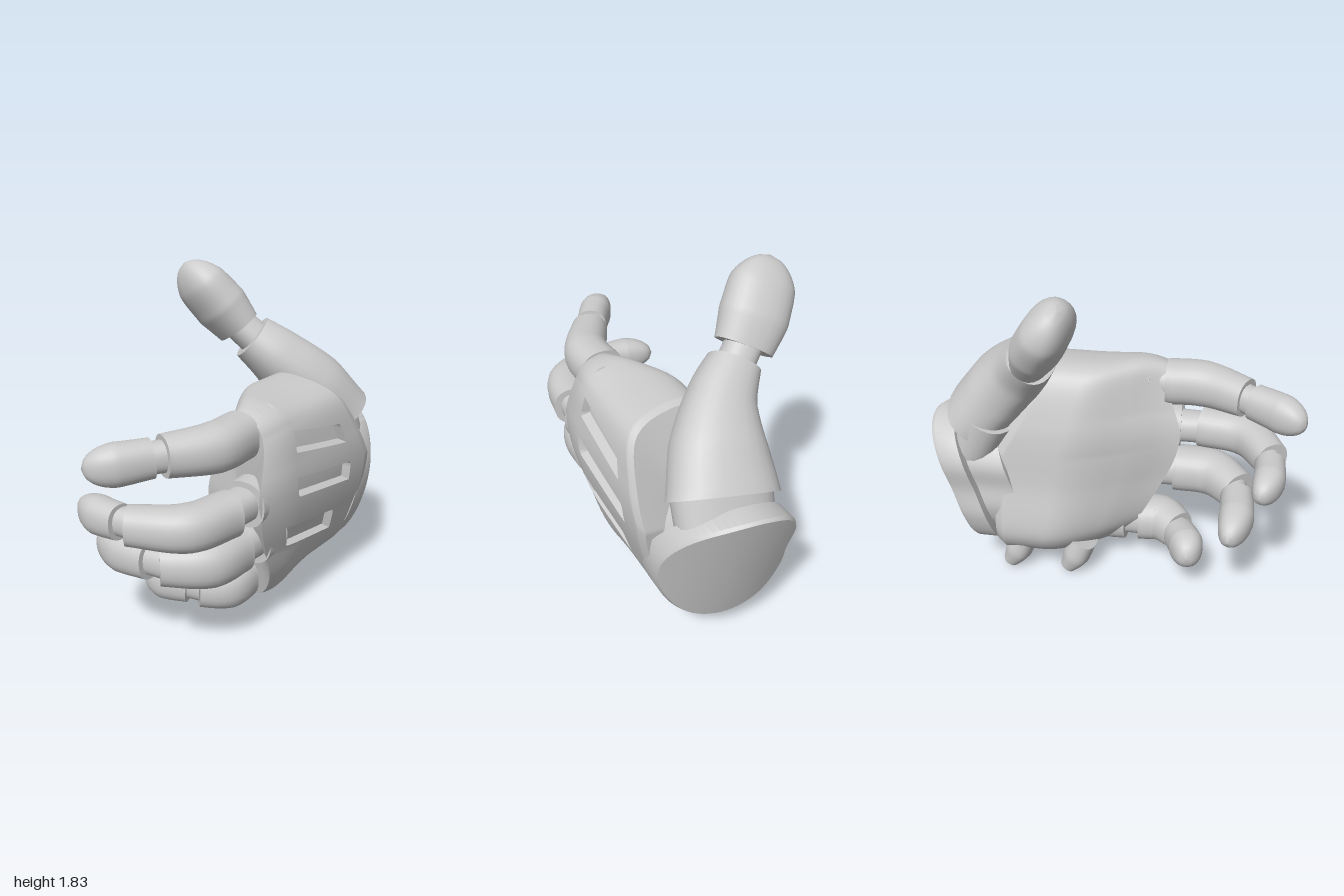
import * as THREE from 'three';
import { toCreasedNormals } from 'three/addons/utils/BufferGeometryUtils.js';

const V = (x, y, z = 0) => new THREE.Vector3(x, y, z);
const { lerp, smoothstep, clamp } = THREE.MathUtils;
const material = new THREE.MeshStandardMaterial({ color: 0xcccccc });

// Skins a stack of closed rings and closes both ends.
function skin(name, rings, crease = 0.6) {
  const n = rings[0].length, pos = [], index = [];
  rings.forEach(r => r.forEach(p => pos.push(p.x, p.y, p.z)));
  for (let i = 0; i < rings.length - 1; i++) {
    for (let j = 0; j < n; j++) {
      const a = i * n + j, b = i * n + (j + 1) % n;
      index.push(a, b, b + n, a, b + n, a + n);
    }
  }
  [0, rings.length - 1].forEach((i, end) => {
    const c = rings[i].reduce((s, p) => s.add(p), V(0, 0)).divideScalar(n);
    const k = pos.length / 3;
    pos.push(c.x, c.y, c.z);
    for (let j = 0; j < n; j++) {
      const a = i * n + j, b = i * n + (j + 1) % n;
      index.push(k, end ? a : b, end ? b : a);
    }
  });
  const g = new THREE.BufferGeometry();
  g.setAttribute('position', new THREE.Float32BufferAttribute(pos, 3));
  g.setIndex(index);
  const mesh = new THREE.Mesh(toCreasedNormals(g, crease), material);
  mesh.name = name;
  return mesh;
}

// Sweeps a squarish oval along points; sizes are [half width, half height] per point.
function limb(name, points, sizes, { up = V(0, 1, 0), round = false, steps = 18 } = {}) {
  const curve = new THREE.CatmullRomCurve3(points), rings = [], sides = 28;
  for (let i = 0; i <= steps; i++) {
    const t = i / steps, f = t * (points.length - 1);
    const k = Math.min(Math.floor(f), points.length - 2);
    const c = curve.getPoint(t), T = curve.getTangent(t);
    const v = up.clone().addScaledVector(T, -up.dot(T)).normalize();
    const u = v.clone().cross(T);
    // Rounded tips close over the second half of the sweep
    const e = round ? Math.max(0, 2 * t - 1) : 0;
    const s = Math.sqrt(Math.max(0.002, 1 - e ** 2.6));
    const [a, b] = [0, 1].map(m => s * lerp(sizes[k][m], sizes[k + 1][m], f - k));
    rings.push(Array.from({ length: sides }, (_, j) => {
      const q = j / sides * Math.PI * 2, co = Math.cos(q), si = Math.sin(q);
      return c.clone()
        .addScaledVector(u, a * Math.sign(co) * Math.abs(co) ** 0.85)
        .addScaledVector(v, b * Math.sign(si) * Math.abs(si) ** 0.85);
    }));
  }
  return skin(name, rings);
}

const closedCurve = pts => new THREE.CatmullRomCurve3(pts.map(p => V(p[0], p[1])), true);

// Recessed slots on the back of the hand: height at the front end, half height, start and end along the palm
const slots = [[1.08, 0.045, 0.2, 0.71], [0.84, 0.05, 0.22, 0.72], [0.55, 0.06, 0.34, 0.83]];

function palm() {
  const section = closedCurve([
    [0.25, 1.26], [0.06, 1.24], [-0.06, 0.98], [-0.11, 0.62], [-0.15, 0.28], [-0.02, 0.13],
    [0.2, 0.13], [0.38, 0.3], [0.47, 0.55], [0.51, 0.78], [0.5, 0.97], [0.43, 1.19],
  ]);
  // The back edge slopes forward under the thumb; the knuckle edge peaks at the middle finger
  const back = y => -0.64 + 0.58 * Math.max(0, y - 0.8);
  const front = y => y < 0.86
    ? lerp(0.08, 0.35, smoothstep(y, 0.05, 0.86))
    : lerp(0.35, 0.27, smoothstep(y, 0.86, 1.2));
  const rings = [], rows = 110, sides = 240;
  for (let i = 0; i <= rows; i++) {
    const t = i / rows;
    // Rounded over at the knuckles, with a small lip at the wrist
    const shrink = 0.2 * Math.max(0, (t - 0.72) / 0.28) ** 2 + 0.08 * Math.max(0, 1 - t / 0.06);
    rings.push(Array.from({ length: sides }, (_, j) => {
      // The mesh rows slant so that they run along the slots
      const u = j / sides, p = section.getPointAt((u + 0.055 * (t - 0.72) + 1) % 1);
      const row = section.getPointAt(u);
      const sunk = row.x > 0.3 && slots.some(([y, h, t0, t1]) => Math.abs(row.y - y) < h && t > t0 && t < t1);
      // The inner side thins towards the knuckles
      const inner = clamp((0.45 - p.x) / 0.5, 0, 1);
      const x = p.x + inner * 0.2 * smoothstep(t, 0.35, 1);
      return V(lerp(x, 0.3, shrink) - (sunk ? 0.045 : 0), lerp(p.y, 0.72, shrink / 3), lerp(back(p.y), front(p.y), t));
    }));
  }
  return skin('palm', rings, 0.5);
}

// Tilted, slightly bowed wrist plate, with a narrower core joining it to the palm
function wrist() {
  const g = new THREE.Group();
  g.name = 'wrist';
  const egg = closedCurve([
    [0.1, 0.97], [-0.08, 0.91], [-0.18, 0.77], [-0.17, 0.6], [-0.18, 0.43], [-0.1, 0.25],
    [0.1, 0.17], [0.3, 0.22], [0.45, 0.45], [0.47, 0.7], [0.35, 0.89],
  ]).getSpacedPoints(72).slice(0, 72);
  const ring = (scale, depth) => egg.map(p => {
    const x = lerp(0.13, p.x, scale), y = lerp(0.58, p.y, scale);
    return V(x, y, -0.87 + 0.15 * (x - 0.1) + 0.8 * (x - 0.1) ** 2 - 0.3 * (y - 0.58) + depth);
  });
  const face = [0.05, 0.25, 0.5, 0.75, 0.97].map(s => ring(s, 0));
  g.add(skin('wristPlate', [...face, ring(1, 0.02), ring(1, 0.13), ring(0.88, 0.14)]));
  g.add(skin('wristCore', [ring(0.84, 0.1), ring(0.82, 0.34)]));
  return g;
}

// Each finger follows [x, z] points: root, shell start, bend, shell end, tip
function finger(name, y, r, tipRise, path) {
  const [root, start, bend, end] = path.map(([x, z]) => V(x, y, z));
  const tip = V(path[4][0], y + tipRise, path[4][1]);
  const mix = (a, b, t) => a.clone().lerp(b, t);
  const oval = (w, h) => [r * w, r * h];
  const g = new THREE.Group();
  g.name = name;
  g.add(
    limb('knuckleSocket', [root, mix(root, start, 0.55)], [oval(1.1, 1.1), oval(1.05, 1.05)]),
    limb('knuckleLink', [root, mix(start, bend, 0.3)], [oval(0.85, 0.8), oval(0.8, 0.75)]),
    limb('fingerShell', [start, bend, end], [oval(1, 1), oval(1, 1), oval(0.82, 0.84)]),
    limb('middleLink', [mix(end, bend, 0.2), mix(end, tip, 0.3)], [oval(0.6, 0.65), oval(0.58, 0.62)]),
    limb('fingertip', [mix(end, tip, 0.14), mix(end, tip, 0.55).add(V(0, 0, 0.02)), tip],
      [oval(0.7, 0.78), oval(0.74, 0.86), oval(0.58, 0.72)], { round: true, steps: 24 }),
  );
  return g;
}

function thumb() {
  const g = new THREE.Group(), up = V(0, 0.6, -0.8);
  g.name = 'thumb';
  g.add(
    limb('thumbSocket', [V(0.13, 0.78, -0.76), V(0.11, 1, -0.66)], [[0.25, 0.14], [0.26, 0.16]], { up }),
    limb('thumbBase', [V(0.14, 0.96, -0.74), V(0.09, 1.14, -0.6), V(0, 1.29, -0.47), V(-0.12, 1.41, -0.38)],
      [[0.28, 0.18], [0.235, 0.18], [0.17, 0.155], [0.13, 0.125]], { up }),
    limb('thumbLink', [V(-0.08, 1.37, -0.41), V(-0.23, 1.52, -0.33)], [[0.095, 0.09], [0.09, 0.085]], { up }),
    limb('thumbTip', [V(-0.19, 1.46, -0.35), V(-0.27, 1.57, -0.3), V(-0.36, 1.7, -0.23), V(-0.43, 1.81, -0.18)],
      [[0.15, 0.1], [0.175, 0.125], [0.17, 0.115], [0.14, 0.09]], { up, round: true, steps: 28 }),
  );
  return g;
}

export function createModel() {
  const hand = new THREE.Group();
  hand.name = 'mechanicalHand';
  hand.add(
    palm(), wrist(), thumb(),
    finger('indexFinger', 1.125, 0.12, -0.02, [[0.3, 0.1], [0.28, 0.26], [0.28, 0.46], [0.16, 0.69], [-0.06, 0.99]]),
    finger('middleFinger', 0.81, 0.113, -0.015, [[0.36, 0.2], [0.37, 0.46], [0.31, 0.7], [0.07, 0.85], [-0.28, 0.79]]),
    finger('ringFinger', 0.555, 0.127, -0.02, [[0.31, 0.08], [0.31, 0.33], [0.29, 0.53], [0.12, 0.69], [-0.32, 0.65]]),
    finger('littleFinger', 0.27, 0.127, 0.03, [[0.2, -0.02], [0.19, 0.14], [0.19, 0.26], [0.09, 0.37], [-0.2, 0.44]]),
  );
  // Stubs under the heel of the hand
  for (const z of [-0.16, -0.5]) {
    hand.add(limb('heelStub', [V(0.01, 0.22, z), V(0, 0.12, z - 0.04), V(0, 0.03, z - 0.09)],
      [[0.12, 0.08], [0.115, 0.08], [0.08, 0.05]], { up: V(0, 0, 1), steps: 8 }));
  }
  return hand;
}
